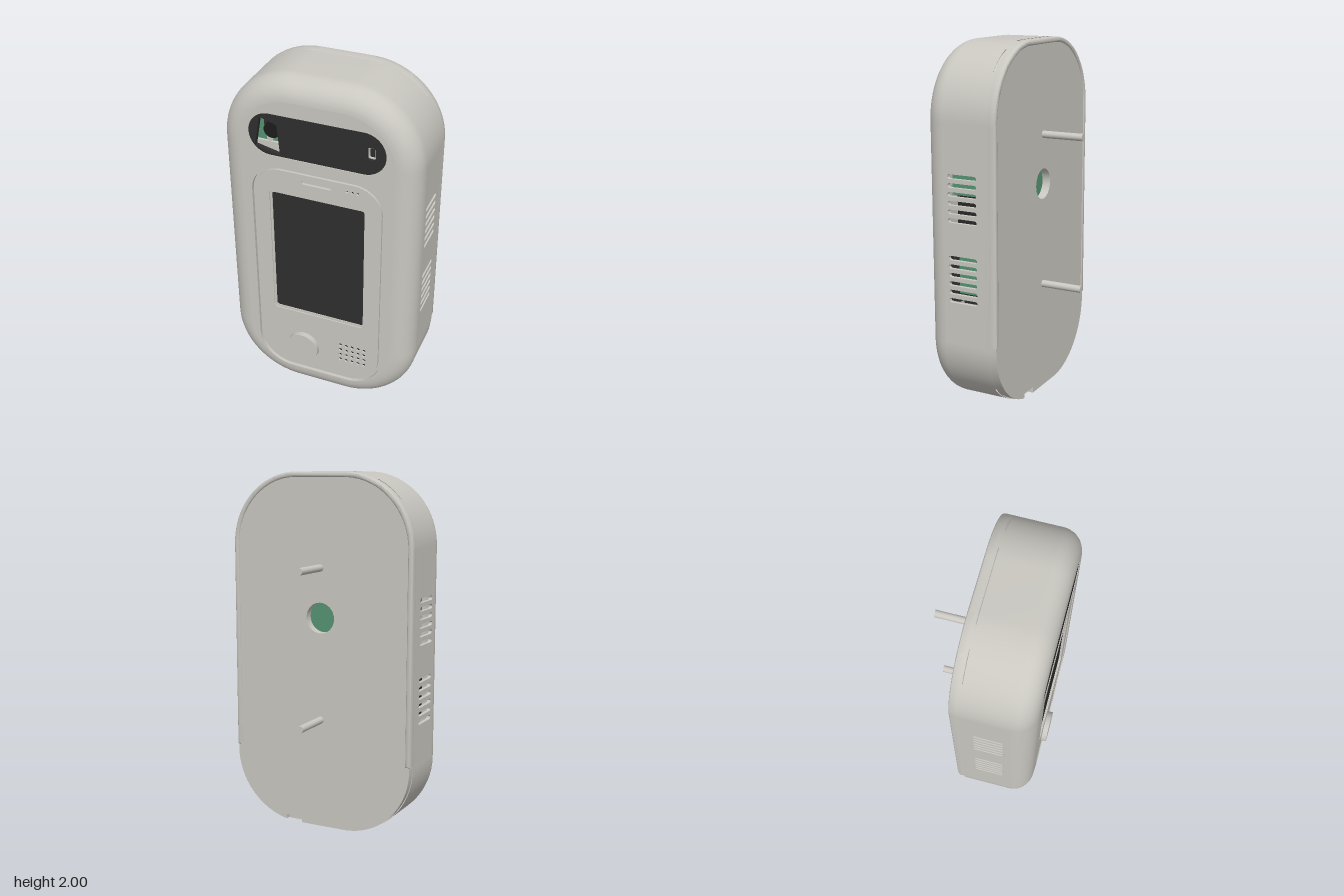
import * as THREE from 'three';
import { toCreasedNormals } from 'three/addons/utils/BufferGeometryUtils.js';

const mat = (name, color) => new THREE.MeshStandardMaterial({ name, color, side: THREE.DoubleSide });
const HALF_W = 0.545, HALF_H = 0.995, MID_Y = 1.005, RADIUS = 0.4;
const STEPS = 32, PER_CORNER = STEPS + 1;

// Rounded case outline, counterclockwise from the right side, moved inward by inset
function outline(inset) {
  const pts = [];
  [[1, 1], [-1, 1], [-1, -1], [1, -1]].forEach(([sx, sy], k) => {
    for (let i = 0; i <= STEPS; i++) {
      const a = (k + i / STEPS) * Math.PI / 2, r = RADIUS - inset;
      pts.push(new THREE.Vector2(sx * (HALF_W - RADIUS) + r * Math.cos(a),
        MID_Y + sy * (HALF_H - RADIUS) + r * Math.sin(a)));
    }
  });
  return pts;
}

// Rounded rectangle with separate top and bottom radii
function roundRect(x0, x1, y0, y1, rTop, rBottom = rTop, Type = THREE.Shape) {
  const s = new Type(), P = Math.PI;
  s.absarc(x1 - rTop, y1 - rTop, rTop, 0, P / 2);
  s.absarc(x0 + rTop, y1 - rTop, rTop, P / 2, P);
  s.absarc(x0 + rBottom, y0 + rBottom, rBottom, P, 1.5 * P);
  s.absarc(x1 - rBottom, y0 + rBottom, rBottom, 1.5 * P, 2 * P);
  s.closePath();
  return s;
}
const hole = (x0, x1, y0, y1, r) => roundRect(x0, x1, y0, y1, r, r, THREE.Path);
const dot = (x, y, r) => new THREE.Path().absarc(x, y, r, 0, Math.PI * 2);

// Flat part between two z levels
function slab(shape, z0, z1, holes = []) {
  shape.holes.push(...holes);
  const g = new THREE.ExtrudeGeometry(shape, { depth: z1 - z0, bevelEnabled: false, curveSegments: 16 });
  return toCreasedNormals(g.translate(0, 0, z0), 0.6);
}

// Walls through rings of [inset, z]; skip(ring, segment, midpoint) leaves openings
function ringWall(rings, skip = () => false) {
  const pos = [], index = [], n = PER_CORNER * 4;
  const loops = rings.map(([inset]) => outline(inset));
  loops.forEach((loop, r) => loop.forEach(p => pos.push(p.x, p.y, rings[r][1])));
  for (let r = 0; r < rings.length - 1; r++) for (let j = 0; j < n; j++) {
    const k = (j + 1) % n;
    if (skip(r, j, loops[r][j].clone().add(loops[r][k]).multiplyScalar(0.5))) continue;
    const a = r * n + j, b = r * n + k;
    index.push(a, b, b + n, a, b + n, a + n);
  }
  const g = new THREE.BufferGeometry();
  g.setAttribute('position', new THREE.Float32BufferAttribute(pos, 3));
  g.setIndex(index);
  return toCreasedNormals(g, 0.6);
}

export function createModel() {
  const group = new THREE.Group();
  const casing = mat('warm grey casing', 0xc9c7c0);
  const dark = mat('dark glass', 0x2e2e2e);
  const black = mat('black lens', 0x1c1c1c);
  const green = mat('green circuit board', 0x559372);

  const add = (name, geometry, material) => {
    const m = new THREE.Mesh(geometry, material);
    m.name = name;
    group.add(m);
    return m;
  };
  const box = (name, x0, x1, y0, y1, z0, z1, material) => add(name,
    new THREE.BoxGeometry(x1 - x0, y1 - y0, z1 - z0)
      .translate((x0 + x1) / 2, (y0 + y1) / 2, (z0 + z1) / 2), material);
  const rod = (name, x, y, r, z0, z1, material) => add(name,
    new THREE.CylinderGeometry(r, r, z1 - z0, 40).rotateX(Math.PI / 2)
      .translate(x, y, (z0 + z1) / 2), material);

  // Outer shell with a rounded front edge, seam slots and open vent areas
  const fillet = 0.12, rings = [[0, -0.07], [0, -0.06], [0, -0.05]];
  for (let i = 0; i <= 10; i++) {
    const a = i / 10 * Math.PI / 2;
    rings.push([fillet * (1 - Math.cos(a)), 0.2 + fillet * Math.sin(a)]);
  }
  const sideSegments = [PER_CORNER * 2 - 1, PER_CORNER * 4 - 1];
  const inSlot = p => {
    const fromEnd = HALF_H - Math.abs(p.y - MID_Y);
    return fromEnd < 0.15 && (Math.abs(p.x) < 0.21 || Math.abs(p.x) > 0.31);
  };
  add('shell', ringWall(rings, (r, j, p) =>
    (r === 1 && inSlot(p)) || (r === 2 && sideSegments.includes(j))), casing);
  add('seamSlotFloor', ringWall([[0.015, -0.07], [0.015, -0.04]]), casing);

  // Flat side walls with two banks of vent slots
  const straight = HALF_H - RADIUS;
  for (const side of [-1, 1]) {
    const wall = new THREE.Shape([[-0.2, -straight], [0.05, -straight], [0.05, straight], [-0.2, straight]]
      .map(([x, y]) => new THREE.Vector2(x, y + MID_Y)));
    const slots = [];
    for (const top of [1.325, 0.89]) for (let i = 0; i < 6; i++) {
      const y = top - i * 0.0465;
      slots.push(hole(-0.17, 0, y - 0.012, y + 0.012, 0.0118));
    }
    const g = slab(wall, -0.02, 0, slots);
    if (side < 0) g.translate(0, 0, 0.02);
    g.rotateY(Math.PI / 2).translate(side * HALF_W, 0, 0);
    add(side > 0 ? 'leftVentWall' : 'rightVentWall', g, casing);
  }

  // Front face, opened for the camera window and the control panel
  add('frontFace', slab(new THREE.Shape(outline(fillet)), 0.285, 0.32, [
    hole(-0.373, 0.373, 1.56, 1.8, 0.119),
    roundRect(-0.37, 0.37, 0.137, 1.49, 0.165, 0.2, THREE.Path)]), casing);
  add('panelGrooveFloor', slab(roundRect(-0.372, 0.372, 0.137, 1.492, 0.165, 0.2), 0.28, 0.3,
    [hole(-0.27, 0.27, 0.555, 1.34, 0.02)]), casing);

  // Control panel with screen opening, microphone slot and speaker holes
  const panelHoles = [hole(-0.272, 0.272, 0.552, 1.343, 0.025), hole(-0.085, 0.08, 1.42, 1.442, 0.008)];
  for (let i = 0; i < 3; i++) panelHoles.push(dot(0.165 + i * 0.03, 1.433, 0.008));
  for (let i = 0; i < 5; i++) for (let j = 0; j < 4; j++)
    panelHoles.push(dot(0.13 + i * 0.0355, 0.28 + j * 0.0355, 0.011));
  add('controlPanel', slab(roundRect(-0.356, 0.356, 0.151, 1.477, 0.152, 0.187), 0.295, 0.315, panelHoles), casing);
  box('speakerMesh', 0.11, 0.29, 0.26, 0.41, 0.3, 0.303, dark);
  box('indicatorHoles', 0.15, 0.24, 1.42, 1.446, 0.3, 0.303, dark);
  add('screenFrame', slab(roundRect(-0.274, 0.274, 0.55, 1.345, 0.027), 0.29, 0.308,
    [hole(-0.26, 0.26, 0.565, 1.33, 0.015)]), casing);
  add('screen', slab(roundRect(-0.262, 0.262, 0.563, 1.332, 0.015), 0.285, 0.303), dark);
  rod('roundButton', -0.095, 0.315, 0.093, 0.3, 0.345, casing);

  // Dark camera window with a slanted opening and a small sensor slot
  const slant = new THREE.Path([[-0.31, 1.77], [-0.215, 1.74], [-0.2, 1.568], [-0.34, 1.6]]
    .map(p => new THREE.Vector2(...p)));
  add('cameraWindow', slab(roundRect(-0.372, 0.372, 1.561, 1.799, 0.1185), 0.29, 0.317,
    [slant, hole(0.272, 0.318, 1.65, 1.72, 0.012)]), dark);
  add('sensorFrame', slab(roundRect(0.274, 0.316, 1.652, 1.718, 0.012), 0.29, 0.305,
    [hole(0.28, 0.31, 1.658, 1.712, 0.008)]), casing);
  box('sensor', 0.265, 0.325, 1.64, 1.73, 0.28, 0.295, dark);
  box('cameraBoard', -0.37, -0.17, 1.55, 1.79, 0.22, 0.24, green);
  box('cameraMount', -0.31, -0.19, 1.66, 1.77, 0.24, 0.26, dark);
  rod('cameraLens', -0.255, 1.69, 0.045, 0.24, 0.29, black);
  box('cameraBracket', -0.36, -0.18, 1.56, 1.6, 0.24, 0.255, casing);
  rod('cameraScrew', -0.28, 1.625, 0.018, 0.24, 0.262, casing);

  // Circuit boards and display body visible through the vents and back opening
  box('upperBoard', -0.48, 0.48, 1.215, 1.36, 0.015, 0.18, green);
  box('middleBoard', -0.3, 0.3, 1.08, 1.3, 0.01, 0.11, green);
  box('lowerBoard', -0.48, 0.48, 0.68, 0.92, -0.01, 0.145, green);
  box('displayBody', -0.48, 0.48, 0.63, 0.92, 0.145, 0.2, dark);
  box('batteryBody', -0.48, 0.48, 0.63, 0.68, -0.01, 0.12, dark);

  // Raised back rim, ending above the lower corners
  const cut = 0.43, upper = inset => [new THREE.Vector2(HALF_W - inset, cut),
    ...outline(inset).slice(0, PER_CORNER * 2), new THREE.Vector2(inset - HALF_W, cut)];
  const rim = new THREE.ExtrudeGeometry(new THREE.Shape([...upper(0), ...upper(0.03).reverse()]), {
    depth: 0.031, bevelSize: 0.01, bevelThickness: 0.012, bevelOffset: -0.01, bevelSegments: 3 });
  add('backRim', toCreasedNormals(rim.translate(0, 0, -0.101), 0.7), casing);

  // Back plate, wider below the rim, with a notch in its lower edge
  const lower = outline(0.006).slice(PER_CORNER * 2);
  const notch = [[0.12, 0.016], [0.12, 0.05], [0.22, 0.05], [0.22, 0.024]].map(p => new THREE.Vector2(...p));
  const keep = f => lower.filter(p => f(p));
  const plate = new THREE.Shape([...upper(0.029),
    new THREE.Vector2(0.006 - HALF_W, cut),
    ...keep(p => p.x <= 0.12), ...notch, ...keep(p => p.x >= 0.22),
    new THREE.Vector2(HALF_W - 0.006, cut)]);
  add('backPlate', slab(plate, -0.107, -0.06, [dot(0, 1.21, 0.085)]), casing);
  box('notchLedge', 0.11, 0.23, 0.02, 0.07, -0.075, -0.05, casing);
  rod('backOpeningBoard', 0, 1.21, 0.11, -0.058, -0.05, green);

  // Mounting pins and the bottom screw
  for (const y of [1.485, 0.635]) rod('mountingPin', 0, y, 0.02, -0.345, -0.1, casing);
  add('bottomScrew', new THREE.CylinderGeometry(0.027, 0.027, 0.04, 32).translate(0.055, 0.02, -0.038), casing);
  return group;
}
